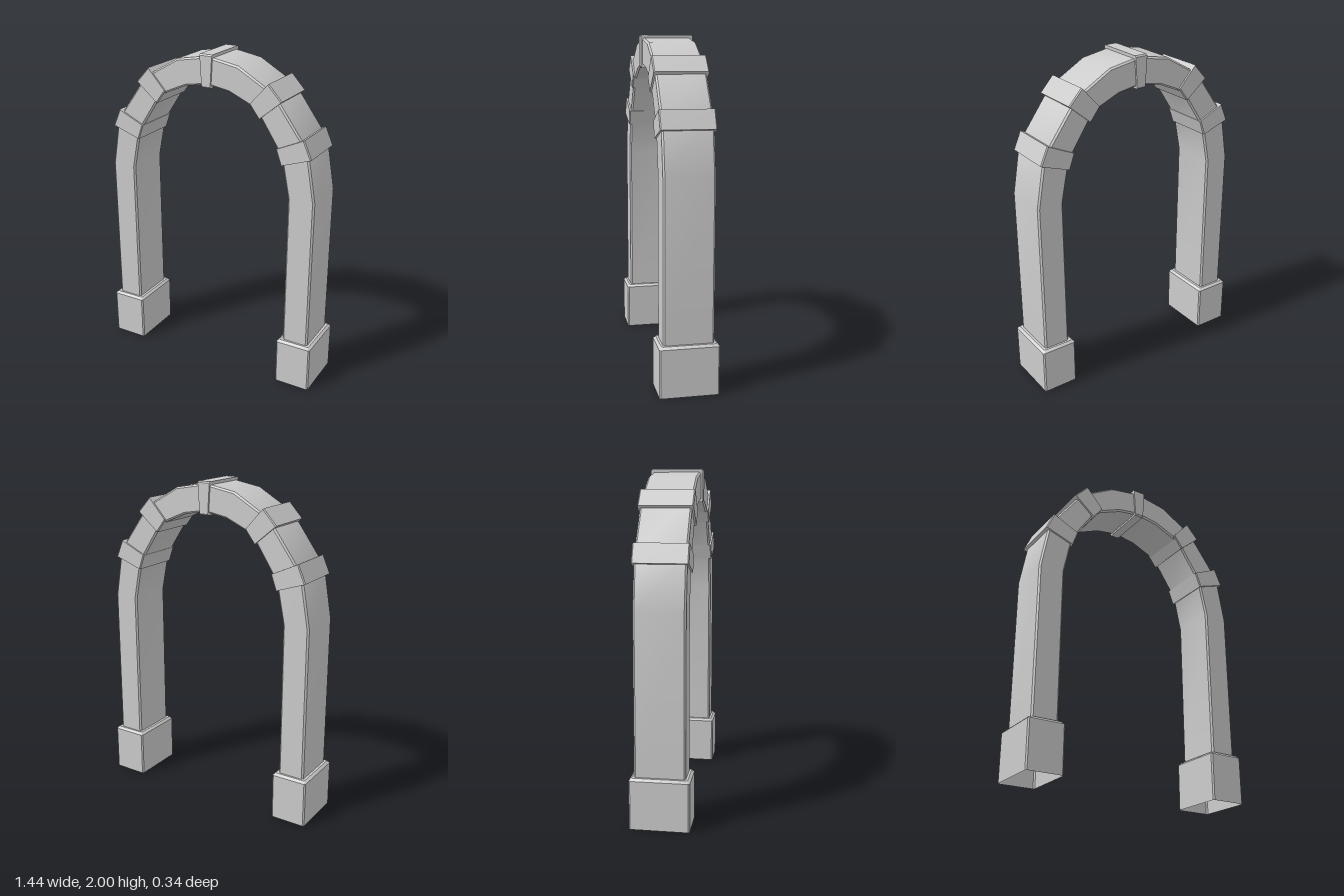
import * as THREE from 'three';
import { toCreasedNormals } from 'three/addons/utils/BufferGeometryUtils.js';

const stone = new THREE.MeshStandardMaterial({ color: 0xcccccc, side: THREE.DoubleSide });

// Chamfered-rectangle loft. Each section: [outerX, outerY, innerX, innerY, halfDepth]
function loft(name, sections, chamfer, capStart, capEnd) {
  const pos = [], idx = [];
  for (const [ox, oy, ix, iy, d] of sections) {
    const len = Math.hypot(ox - ix, oy - iy), c = chamfer / len;
    const ring = [
      [c, d], [1 - c, d], [1, d - chamfer], [1, chamfer - d],
      [1 - c, -d], [c, -d], [0, chamfer - d], [0, d - chamfer],
    ];
    for (const [u, z] of ring) pos.push(ix + (ox - ix) * u, iy + (oy - iy) * u, z);
  }
  const last = (sections.length - 1) * 8;
  for (let i = 0; i < last; i += 8) {
    for (let j = 0; j < 8; j++) {
      const k = (j + 1) % 8;
      idx.push(i + j, i + k, i + 8 + k, i + j, i + 8 + k, i + 8 + j);
    }
  }
  for (let j = 1; j < 7; j++) {
    if (capStart) idx.push(0, j + 1, j);
    if (capEnd) idx.push(last, last + j, last + j + 1);
  }
  const geometry = new THREE.BufferGeometry();
  geometry.setAttribute('position', new THREE.Float32BufferAttribute(pos, 3));
  geometry.setIndex(idx);
  const mesh = new THREE.Mesh(toCreasedNormals(geometry, 0.55), stone);
  mesh.name = name;
  return mesh;
}

// Mirror sections across x, reversed so the path direction stays consistent
const mirror = (sections) =>
  sections.map(([ox, oy, ix, iy, d]) => [-ox, oy, -ix, iy, d]).reverse();

export function createModel() {
  const group = new THREE.Group();
  group.name = 'archway';

  // Pillars and arch as one continuous sweep
  const D = 0.146;
  const half = [
    [0.693, 0.27, 0.53, 0.27, D],
    [0.693, 1.23, 0.53, 1.23, D],
    [0.64, 1.53, 0.48, 1.475, D],
    [0.426, 1.823, 0.315, 1.726, D],
    [0.2, 1.953, 0.143, 1.8, D],
  ];
  group.add(loft('arch', [...half, [0, 1.988, 0, 1.824, D], ...mirror(half)], 0.01, false, false));

  // Wedge-shaped bands clasping the arch
  const B = 0.157;
  const bands = {
    lowerBand: [[0.667, 1.488, 0.483, 1.425, B], [0.62, 1.595, 0.45, 1.517, B]],
    upperBand: [[0.478, 1.79, 0.34, 1.673, B], [0.395, 1.88, 0.28, 1.752, B]],
  };
  for (const [name, sections] of Object.entries(bands)) {
    group.add(loft(name + 'Left', sections, 0.006, true, true));
    group.add(loft(name + 'Right', mirror(sections), 0.006, true, true));
  }
  group.add(loft('keystone', [[0.04, 2, 0.028, 1.806, B], [-0.04, 2, -0.028, 1.806, B]], 0.008, true, true));

  // Hollow plinths, open underneath, with a bevelled top
  for (const side of [1, -1]) {
    const ring = (y, inset) => [0.111 - inset, y, inset - 0.111, y, 0.172 - inset];
    const plinth = loft('plinth' + (side > 0 ? 'Left' : 'Right'),
      [ring(0, 0), ring(0.283, 0), ring(0.297, 0.014)], 0.008, false, true);
    plinth.position.x = side * 0.611;
    group.add(plinth);
  }
  return group;
}
